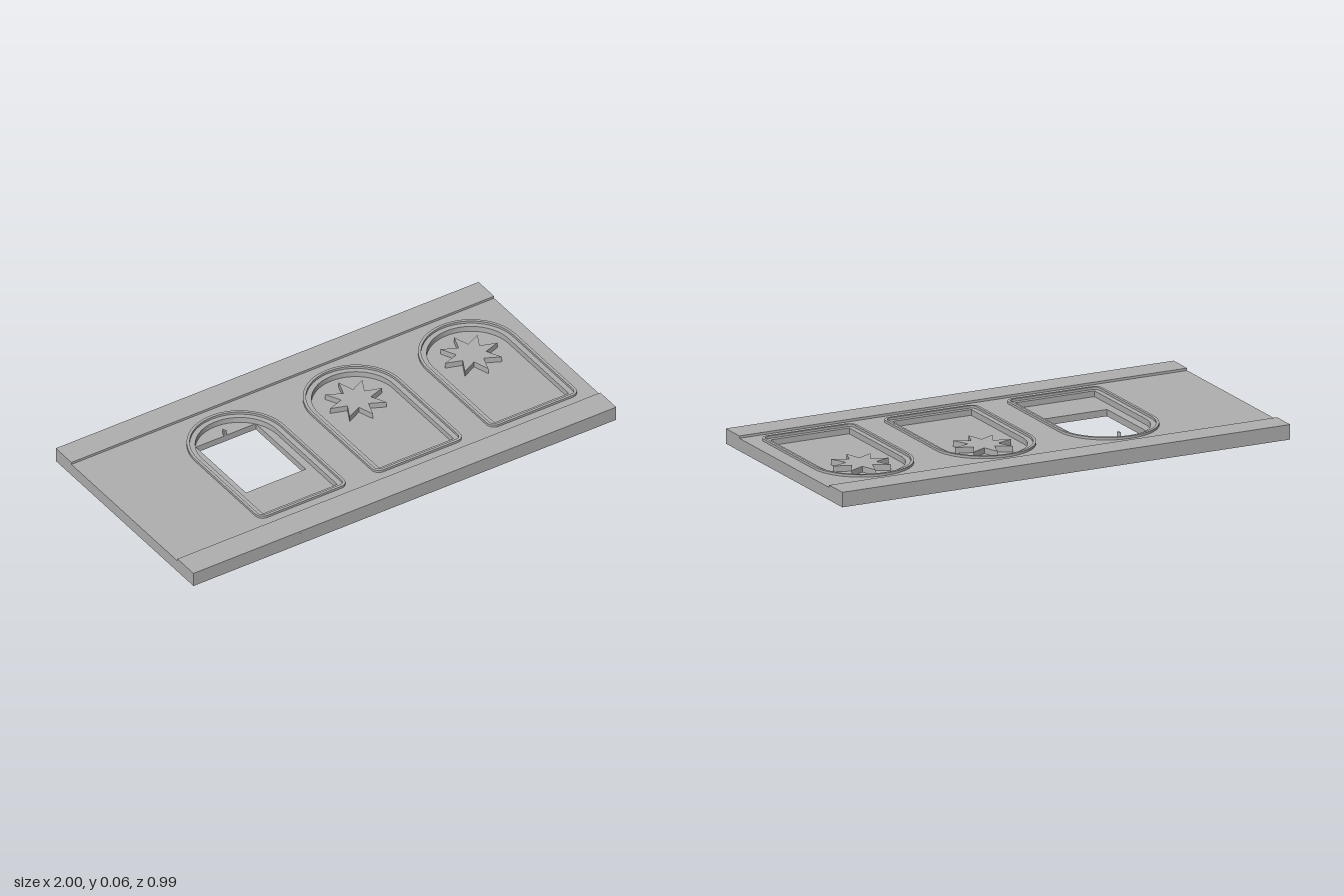
import * as THREE from 'three';

const FLOOR = 0.028, FACE = 0.052, TOP = 0.062;
const ARCH = 0.13; // arch centre, in plan coordinates (plan y = -z)

// Rectangle in plan
function rect(P, x0, x1, y0, y1) {
  const s = new P();
  s.moveTo(x0, y0);
  s.lineTo(x1, y0);
  s.lineTo(x1, y1);
  s.lineTo(x0, y1);
  s.closePath();
  return s;
}

// Round-headed panel outline with softened bottom corners
function arch(P, cx, r, bottom, c) {
  const s = new P();
  s.moveTo(cx - r + c, bottom);
  s.lineTo(cx + r - c, bottom);
  if (c > 0) s.absarc(cx + r - c, bottom + c, c, -Math.PI / 2, 0, false);
  s.lineTo(cx + r, ARCH);
  s.absarc(cx, ARCH, r, 0, Math.PI, false);
  s.lineTo(cx - r, bottom + c);
  if (c > 0) s.absarc(cx - r + c, bottom + c, c, Math.PI, Math.PI * 1.5, false);
  return s;
}

// Eight-pointed star outline
function star(cx) {
  const pts = [];
  for (let i = 0; i < 16; i++) {
    const a = Math.PI / 2 + i * Math.PI / 8;
    const r = i % 2 ? 0.06 : 0.124;
    pts.push(new THREE.Vector2(cx + r * Math.cos(a), ARCH + r * Math.sin(a)));
  }
  return new THREE.Shape(pts);
}

export function createModel() {
  const group = new THREE.Group();
  const stone = new THREE.MeshStandardMaterial({ color: 0xb0b0b0 });
  stone.name = 'grey stone';

  // Extrude a plan shape upward between two heights
  function add(name, shape, y0, y1) {
    const geo = new THREE.ExtrudeGeometry(shape, {
      depth: y1 - y0, bevelEnabled: false, curveSegments: 24,
    });
    geo.rotateX(-Math.PI / 2);
    const mesh = new THREE.Mesh(geo, stone);
    mesh.name = name;
    mesh.position.y = y0;
    group.add(mesh);
  }

  const centres = [-0.37, 0.18, 0.725];

  // Base plate with the rectangular opening
  const base = rect(THREE.Shape, -1, 1, -0.495, 0.495);
  base.holes.push(rect(THREE.Path, -0.508, -0.225, -0.125, 0.235));
  add('basePlate', base, 0, FLOOR);

  // Wall face with three sunken arched panels
  const face = rect(THREE.Shape, -1, 1, -0.495, 0.495);
  centres.forEach((x) => face.holes.push(arch(THREE.Path, x, 0.176, -0.304, 0)));
  add('wallFace', face, FLOOR, FACE);

  // Raised bands along both long edges
  add('backBand', rect(THREE.Shape, -1, 1, 0.383, 0.495), FACE, TOP);
  add('frontBand', rect(THREE.Shape, -1, 1, -0.495, -0.38), FACE, TOP);

  // Arched mouldings
  centres.forEach((x, i) => {
    const rim = arch(THREE.Shape, x, 0.21, -0.335, 0.035);
    rim.holes.push(arch(THREE.Path, x, 0.198, -0.323, 0.023));
    add('archMoulding' + (i + 1), rim, FACE, TOP);
  });

  // Star reliefs, and the tip left above the opening
  add('starRelief1', star(centres[1]), FLOOR, FACE);
  add('starRelief2', star(centres[2]), FLOOR, FACE);
  const tip = new THREE.Shape();
  tip.moveTo(centres[0] - 0.006, 0.235);
  tip.lineTo(centres[0] + 0.006, 0.235);
  tip.lineTo(centres[0], 0.254);
  tip.closePath();
  add('starTip', tip, FLOOR, FACE);

  return group;
}
